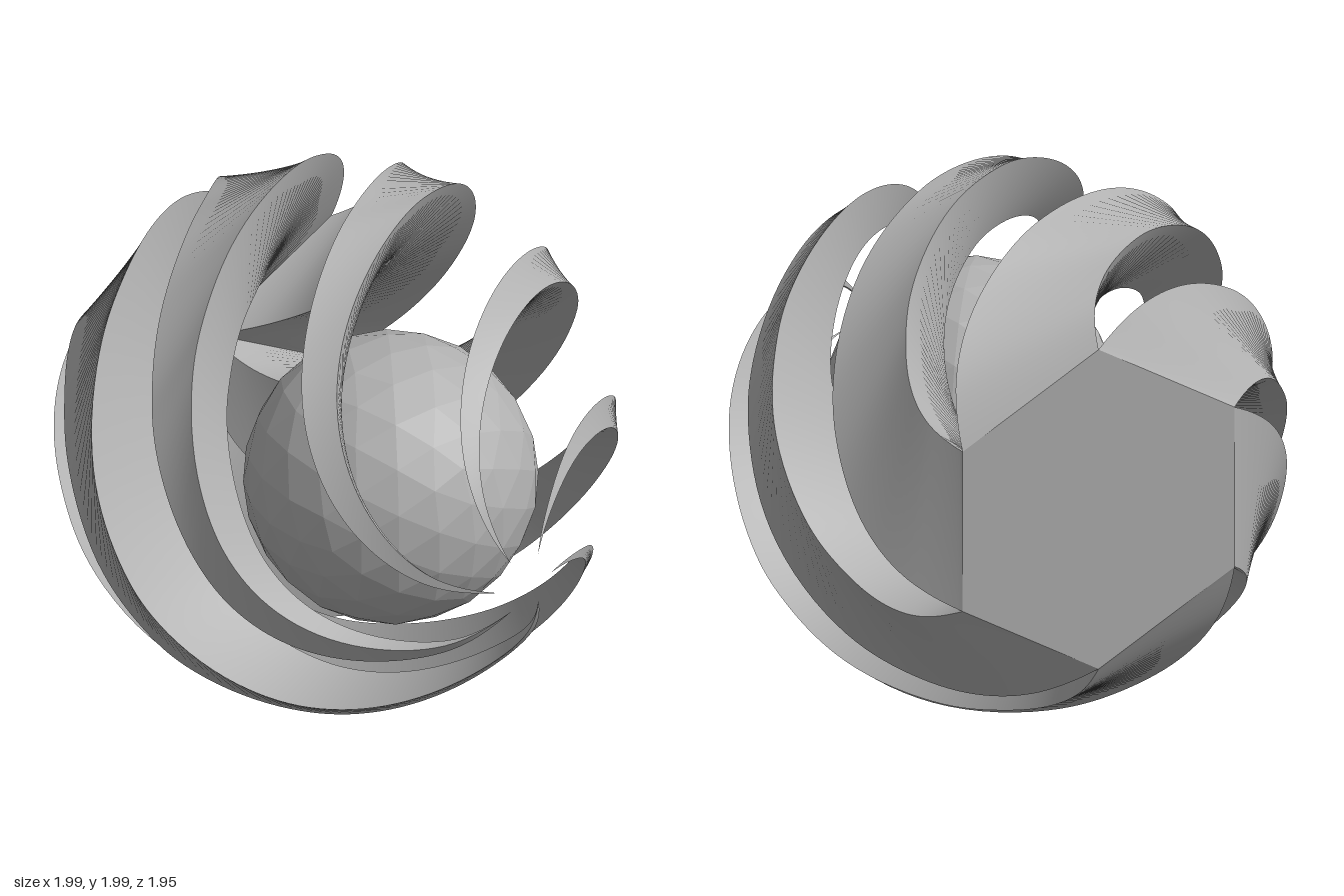
import * as THREE from 'three';

export function createModel() {
  const group = new THREE.Group();
  const grey = new THREE.MeshStandardMaterial({ color: 0xb0b0b0 });
  grey.name = 'plain grey';

  const zBack = -0.98, zFront = 0.97, side = 0.61, blades = 6, steps = 96;

  // distance of a blade's inner ridge from the axis: (progress, radius)
  const ridge = new THREE.SplineCurve([
    [0, 0], [0.05, 0.17], [0.1, 0.29], [0.164, 0.4], [0.236, 0.505], [0.344, 0.622],
    [0.436, 0.68], [0.5, 0.7], [0.6, 0.695], [0.68, 0.665], [0.76, 0.59],
    [0.85, 0.46], [0.938, 0.3], [1, 0.115],
  ].map(([t, r]) => new THREE.Vector2(t, r)));

  // triangular section shrinking to a point while it makes half a turn
  const sections = ridge.getPoints(steps).map(({ x: t, y: inner }) => {
    const w = side * (1 - t);
    const outer = inner + w * Math.sqrt(3) / 2;
    const c = Math.cos(Math.PI * t), s = Math.sin(Math.PI * t);
    const z = zBack + (zFront - zBack) * t;
    return [[inner, 0], [outer, -w / 2], [outer, w / 2]]
      .map(([x, y]) => [x * c - y * s, x * s + y * c, z]);
  });

  // one smooth strip for each face, so the ridges between stay sharp
  const positions = [], index = [];
  for (let k = 0; k < 3; k++) {
    const start = positions.length / 3;
    sections.forEach((sec, i) => {
      positions.push(...sec[k], ...sec[(k + 1) % 3]);
      if (i === steps) return;
      const a = start + i * 2;
      index.push(a, a + 1, a + 3, a, a + 3, a + 2);
    });
  }
  const bladeGeometry = new THREE.BufferGeometry();
  bladeGeometry.setAttribute('position', new THREE.Float32BufferAttribute(positions, 3));
  bladeGeometry.setIndex(index);
  bladeGeometry.computeVertexNormals();

  for (let i = 0; i < blades; i++) {
    const blade = new THREE.Mesh(bladeGeometry, grey);
    blade.name = 'spiralBlade' + (i + 1);
    blade.position.y = 1;
    blade.rotation.z = (i * Math.PI * 2) / blades;
    group.add(blade);
  }

  // flat six-sided back
  const back = new THREE.Mesh(new THREE.CircleGeometry(side, 6, Math.PI / 6), grey);
  back.name = 'hexagonalBase';
  back.rotation.y = Math.PI;
  back.position.set(0, 1, zBack);
  group.add(back);

  // faceted ball held inside the blades
  const ballGeometry = new THREE.IcosahedronGeometry(0.525, 3);
  ballGeometry.computeVertexNormals();
  const ball = new THREE.Mesh(ballGeometry, grey);
  ball.name = 'ball';
  ball.position.set(0, 1, 0.14);
  group.add(ball);

  return group;
}
